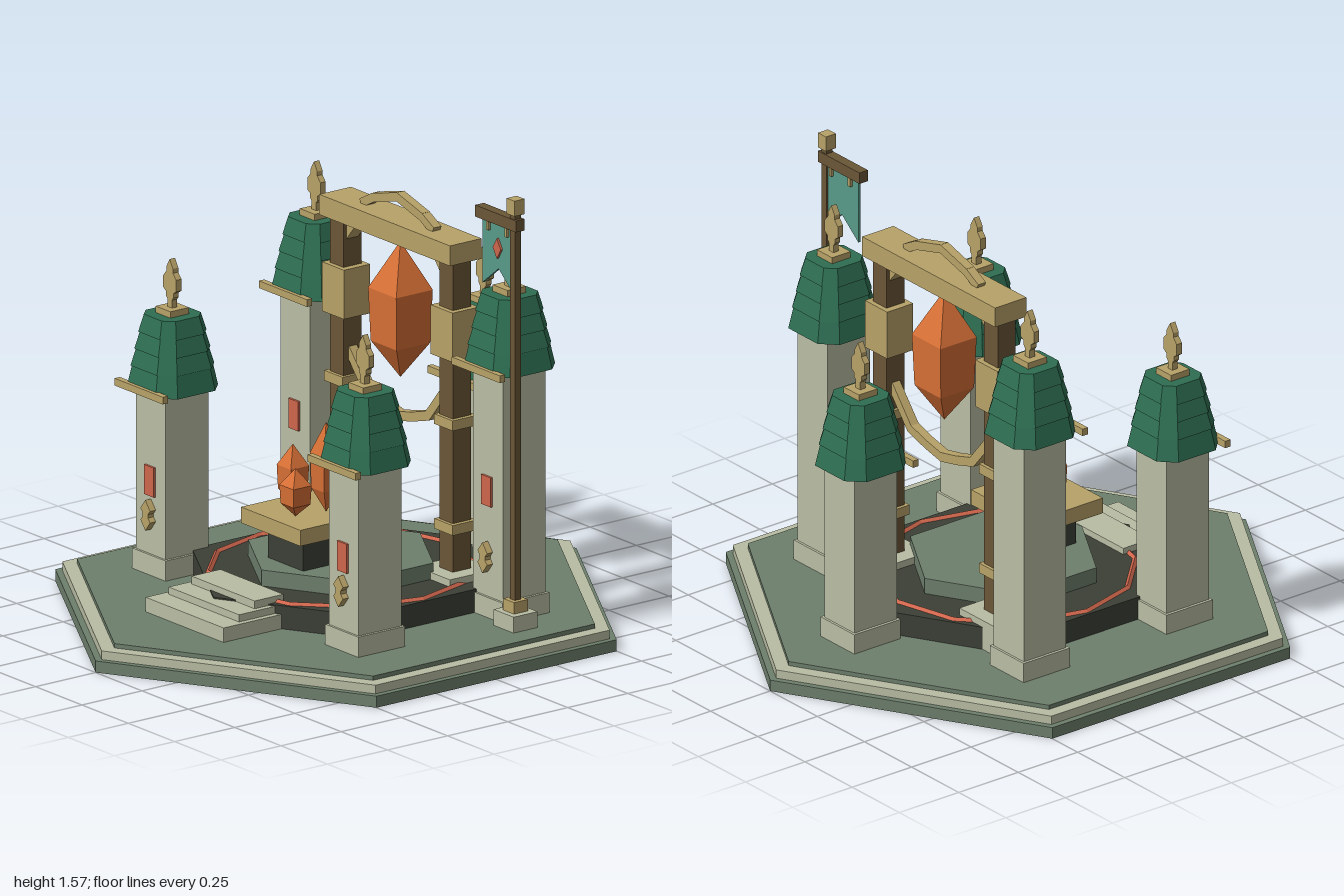
import * as THREE from 'three';

const mat = (name, color) => {
  const m = new THREE.MeshStandardMaterial({ color, flatShading: true });
  m.name = name;
  return m;
};

export function createModel() {
  const root = new THREE.Group();
  root.name = 'shrine';
  const moss = mat('mossStone', 0x6d7f6c);
  const stone = mat('paleStone', 0xb9bda3);
  const dark = mat('darkStone', 0x3c4036);
  const gold = mat('gold', 0xb8a268);
  const wood = mat('wood', 0x6a5636);
  const tile = mat('roofGreen', 0x2e6e52);
  const teal = mat('bannerTeal', 0x579a88);
  const ember = mat('crystalOrange', 0xd87036);
  const red = mat('red', 0xcf664c);

  const add = (parent, name, geo, material, x = 0, y = 0, z = 0) => {
    const m = new THREE.Mesh(geo, material);
    m.name = name;
    m.position.set(x, y, z);
    parent.add(m);
    return m;
  };
  // Box given by its centre in x and z and its bottom and top in y
  const box = (parent, name, material, x, z, w, d, y0, y1) =>
    add(parent, name, new THREE.BoxGeometry(w, y1 - y0, d), material, x, (y0 + y1) / 2, z);
  const hex = (name, material, r, y0, y1, z = 0) =>
    add(root, name, new THREE.CylinderGeometry(r, r, y1 - y0, 6), material, 0, (y0 + y1) / 2, z);
  // Flat outline in x and y, given thickness and centred on z
  const plate = (parent, name, material, pts, depth, x, y, z) => {
    const shape = new THREE.Shape(pts.map(p => new THREE.Vector2(p[0], p[1])));
    const geo = new THREE.ExtrudeGeometry(shape, { depth, bevelEnabled: false });
    geo.translate(0, 0, -depth / 2);
    return add(parent, name, geo, material, x, y, z);
  };
  // Chain of square struts along a polyline
  const struts = (name, pts, t, depth, z) => {
    const g = new THREE.Group();
    g.name = name;
    for (let i = 0; i < pts.length - 1; i++) {
      const [a, b] = [pts[i], pts[i + 1]];
      const len = Math.hypot(b[0] - a[0], b[1] - a[1]);
      const m = add(g, name + 'Segment', new THREE.BoxGeometry(len + t * 0.3, t, depth), gold,
        (a[0] + b[0]) / 2, (a[1] + b[1]) / 2, z);
      m.rotation.z = Math.atan2(b[1] - a[1], b[0] - a[0]);
    }
    root.add(g);
  };
  // Four-sided crystal: point, shoulders, point
  const crystal = (name, x, z, half, y0, y1) => {
    const h = y1 - y0, r = half * Math.SQRT2;
    const profile = [[0, 0], [r * 0.92, h * 0.26], [r, h * 0.65], [0, h]];
    const geo = new THREE.LatheGeometry(profile.map(p => new THREE.Vector2(p[0], p[1])), 4);
    geo.rotateY(Math.PI / 4);
    add(root, name, geo, ember, x, y0, z);
  };

  // Stepped base, dais and red inlay ring
  hex('baseLower', moss, 1, 0, 0.04);
  hex('baseRim', stone, 0.975, 0.04, 0.07);
  hex('baseFloor', moss, 0.922, 0.07, 0.085);
  hex('dais', dark, 0.53, 0.085, 0.165, -0.02);
  hex('daisTop', moss, 0.33, 0.165, 0.22, -0.02);
  const ringGeo = new THREE.TorusGeometry(0.44, 0.012, 4, 12);
  ringGeo.rotateX(Math.PI / 2);
  add(root, 'inlayRing', ringGeo, red, 0, 0.163, -0.02);

  // Stairs
  [[0.42, 0.63, 0.135], [0.38, 0.55, 0.16], [0.34, 0.47, 0.187]].forEach(([w, front, top], i) =>
    box(root, 'stair' + (i + 1), stone, 0, (front + 0.35) / 2, w, front - 0.35, 0.085, top));

  // Altar with small crystals
  box(root, 'altarBlock', dark, 0, 0.12, 0.19, 0.18, 0.22, 0.335);
  box(root, 'altarSlab', gold, 0, 0.122, 0.32, 0.3, 0.335, 0.39);
  crystal('smallCrystalLeft', -0.077, 0.12, 0.038, 0.39, 0.6);
  crystal('smallCrystalTall', 0.05, 0.08, 0.038, 0.39, 0.7);
  crystal('smallCrystalFront', 0.028, 0.19, 0.038, 0.39, 0.555);

  // Gate with hanging crystal
  const gz = -0.268;
  for (const s of [-1, 1]) {
    box(root, 'gateFoot', stone, s * 0.295, gz, 0.19, 0.19, 0.085, 0.19);
    box(root, 'gatePost', wood, s * 0.295, gz, 0.072, 0.075, 0.19, 1.26);
    box(root, 'postBlock', gold, s * 0.293, gz, 0.118, 0.11, 0.925, 1.095);
    for (const y of [0.323, 0.685]) box(root, 'postBand', gold, s * 0.297, gz, 0.1, 0.1, y, y + 0.035);
    const brace = s > 0 ? [[0, 0], [-0.06, 0], [0, -0.07]] : [[0, 0], [0, -0.07], [0.06, 0]];
    plate(root, 'gateBrace', gold, brace, 0.05, s * 0.26, 1.26, gz);
  }
  box(root, 'gateBeam', gold, 0, gz, 0.705, 0.132, 1.26, 1.33);
  struts('gateCrown', [[-0.19, 1.333], [-0.13, 1.365], [0, 1.4], [0.13, 1.365], [0.19, 1.333]], 0.03, 0.032, gz);
  struts('gateSwag', [[-0.265, 0.805], [-0.165, 0.685], [-0.08, 0.66], [0, 0.643],
    [0.08, 0.66], [0.165, 0.685], [0.265, 0.805]], 0.032, 0.032, gz);
  crystal('greatCrystal', 0, gz, 0.076, 0.775, 1.245);

  // One roof tier: chamfered square, narrower at the top
  const tierGeo = (bottom, top, h) => {
    const k = 1 / Math.cos(Math.PI / 8);
    const geo = new THREE.CylinderGeometry(top * k, bottom * k, h, 8);
    geo.rotateY(Math.PI / 8);
    const p = geo.attributes.position;
    for (let i = 0; i < p.count; i++) {
      const x = p.getX(i), z = p.getZ(i);
      if (Math.abs(x) < Math.abs(z)) p.setX(i, x * 1.45);
      else p.setZ(i, z * 1.45);
    }
    return geo;
  };
  const half = [[0.012, 0], [0.012, 0.03], [0.02, 0.04], [0.02, 0.055], [0.035, 0.065],
    [0.035, 0.105], [0.018, 0.125], [0.018, 0.14]];
  const finial = [...half, [0, 0.17], ...half.map(p => [-p[0], p[1]]).reverse()];
  const charm = [[0, -0.053], [0.026, -0.02], [0.014, -0.006], [0.014, 0.006], [0.026, 0.02],
    [0, 0.053], [-0.026, 0.02], [-0.014, 0.006], [-0.014, -0.006], [-0.026, -0.02]];

  // Pillars: position and height of the eaves
  const pillars = [[-0.52, 0.28, 0.72], [0.52, 0.28, 0.72], [-0.52, -0.32, 0.94], [0.52, -0.32, 0.94], [0, -0.62, 0.72]];
  for (const [x, z, eave] of pillars) {
    const g = new THREE.Group();
    g.name = 'pillar';
    g.position.set(x, 0, z);
    root.add(g);
    box(g, 'pillarPlinth', stone, 0, 0, 0.18, 0.195, 0.085, 0.155);
    box(g, 'pillarShaft', stone, 0, 0, 0.16, 0.178, 0.155, eave + 0.01);
    const plaqueY = 0.085 + (eave - 0.085) * 0.51;
    box(g, 'pillarPlaque', red, 0, 0.093, 0.052, 0.009, plaqueY - 0.051, plaqueY + 0.051);
    plate(g, 'pillarCharm', gold, charm, 0.025, 0, 0.293, 0.1);
    for (let i = 0; i < 4; i++) {
      const b = 0.13 - 0.011 * i, h = i === 0 ? 0.08 : 0.06;
      const y0 = eave + (i === 0 ? 0 : 0.075 + 0.058 * (i - 1));
      add(g, 'roofTier' + (i + 1), tierGeo(b, b - 0.016, h), tile, 0, y0 + h / 2, 0);
    }
    box(g, 'eaveBar', gold, 0, 0.129, 0.26, 0.022, eave - 0.005, eave + 0.02);
    box(g, 'roofCap', gold, 0, 0, 0.08, 0.078, eave + 0.24, eave + 0.273);
    plate(g, 'roofFinial', gold, finial, 0.022, 0, eave + 0.27, 0);
  }

  // Banner pole
  const px = 0.66, pz = -0.238;
  box(root, 'poleFoot', stone, px, pz, 0.108, 0.1, 0.085, 0.14);
  box(root, 'poleCollar', gold, px, pz, 0.058, 0.058, 0.14, 0.18);
  box(root, 'pole', wood, px, pz, 0.026, 0.026, 0.18, 1.515);
  box(root, 'poleTop', gold, px, pz, 0.042, 0.042, 1.512, 1.565);
  box(root, 'crossbar', wood, 0.575, pz, 0.22, 0.036, 1.457, 1.497);
  plate(root, 'banner', teal, [[-0.088, 0], [-0.088, -0.225], [0, -0.155], [0.08, -0.225], [0.08, 0]],
    0.01, 0.575, 1.457, pz);
  plate(root, 'bannerDiamond', red, [[0, -0.035], [0.022, 0], [0, 0.035], [-0.022, 0]], 0.008, 0.575, 1.373, pz + 0.009);
  for (const x of [0.525, 0.625]) box(root, 'bannerClip', gold, x, pz, 0.012, 0.03, 1.425, 1.458);

  return root;
}
